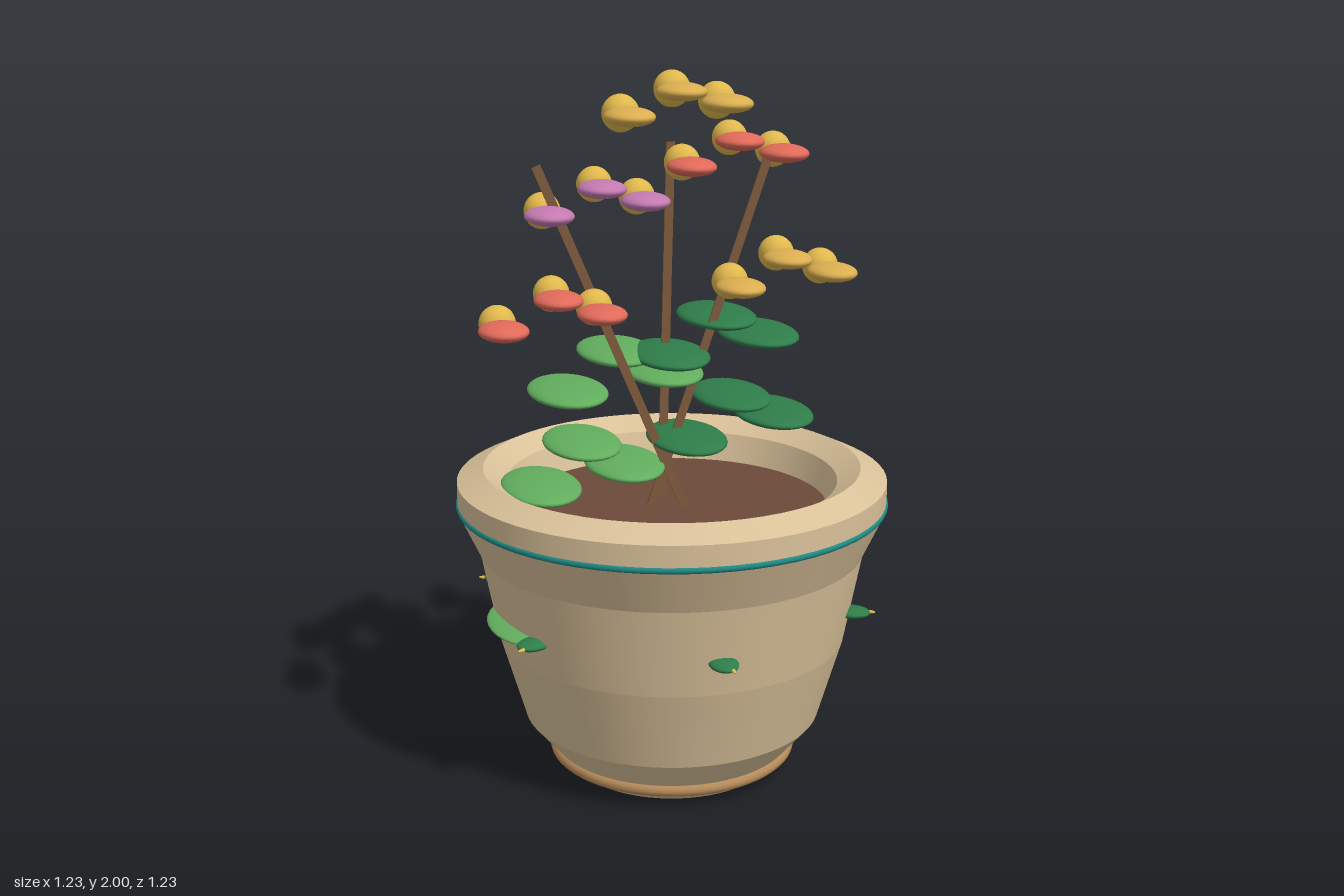
import * as THREE from 'three';
import { mergeGeometries } from 'three/addons/utils/BufferGeometryUtils.js';

const mat = (color, side = THREE.FrontSide) => new THREE.MeshStandardMaterial({ color, side });
const CLAY = mat(0xd9c199, THREE.DoubleSide);
const FOOT = mat(0xb58a5a);
const TEAL = mat(0x1f8a85);
const SOIL = mat(0x6b4a3a);
const STEM = mat(0x7d5a3c);
const DARK = mat(0x2f7d4a);
const LIGHT = mat(0x62ae5e);
const YELLOW = mat(0xe0b84c);
const PETAL = { yellow: mat(0xdbae50), red: mat(0xe06a5a), purple: mat(0xc47ab0) };

// Lathe with a sharp edge at every profile point, smooth around
function bandedLathe(profile) {
  const bands = [];
  for (let i = 0; i < profile.length - 1; i++) {
    const pair = [profile[i], profile[i + 1]].map(([r, y]) => new THREE.Vector2(r, y));
    bands.push(new THREE.LatheGeometry(pair, 64));
  }
  return mergeGeometries(bands);
}

const ball = new THREE.SphereGeometry(1, 28, 18);

export function createModel() {
  const model = new THREE.Group();

  function add(name, geometry, material, parent = model) {
    const mesh = new THREE.Mesh(geometry, material);
    mesh.name = name;
    parent.add(mesh);
    return mesh;
  }
  function ellipsoid(name, material, pos, size, parent = model) {
    const mesh = add(name, ball, material, parent);
    mesh.position.set(...pos);
    mesh.scale.set(...size);
    return mesh;
  }

  // Pot: recessed base, flared body, bevelled rim, inner wall
  add('pot', bandedLathe([
    [0, 0.07], [0.25, 0.07], [0.28, 0], [0.3, 0], [0.34, 0.04], [0.35, 0.065],
    [0.43, 0.16], [0.5, 0.4], [0.55, 0.66], [0.61, 0.79], [0.61, 0.865],
    [0.535, 0.9], [0.47, 0.86], [0.44, 0.77],
  ]), CLAY);

  // Ring round the foot
  const foot = add('footRing', new THREE.TorusGeometry(0.342, 0.018, 12, 64), FOOT);
  foot.rotation.x = Math.PI / 2;
  foot.position.y = 0.048;

  // Coloured band under the rim
  const band = add('rimBand', new THREE.TorusGeometry(0.605, 0.01, 10, 64), TEAL);
  band.rotation.x = Math.PI / 2;
  band.position.y = 0.797;

  const soil = add('soil', new THREE.CylinderGeometry(0.445, 0.43, 0.03, 64), SOIL);
  soil.position.y = 0.765;

  // Six small leaves set round the pot wall
  for (let i = 0; i < 6; i++) {
    const sprig = new THREE.Group();
    sprig.name = 'potLeaf';
    sprig.rotation.y = i * Math.PI / 3;
    model.add(sprig);
    ellipsoid('leafBlade', DARK, [0, 0.5, 0.525], [0.04, 0.015, 0.055], sprig);
    ellipsoid('leafTip', YELLOW, [0.012, 0.5, 0.575], [0.006, 0.005, 0.018], sprig);
  }
  ellipsoid('sideLeaf', LIGHT, [-0.455, 0.5, 0.1], [0.1, 0.016, 0.175]);

  // Flat straight stems: foot x, tip x, tip y, z
  const stems = [[0.03, -0.385, 1.76, 0.05], [-0.012, 0.015, 1.8, -0.07], [-0.06, 0.275, 1.75, -0.01]];
  for (const [x0, x1, top, z] of stems) {
    const dx = x1 - x0, dy = top - 0.77;
    const stem = add('stem', new THREE.BoxGeometry(0.025, Math.hypot(dx, dy), 0.005), STEM);
    stem.position.set((x0 + x1) / 2, (top + 0.77) / 2, z);
    stem.rotation.z = -Math.atan2(dx, dy);
  }

  // Broad flat leaves
  const leaves = [
    [DARK, 0.17, 1.29, -0.14], [DARK, 0.27, 1.25, -0.06], [DARK, 0.0, 1.21, -0.03],
    [DARK, 0.21, 1.055, -0.12], [DARK, 0.315, 1.015, -0.05], [DARK, 0.04, 0.975, 0.01],
    [LIGHT, -0.13, 1.205, -0.13], [LIGHT, -0.02, 1.165, -0.03], [LIGHT, -0.295, 1.125, -0.02],
    [LIGHT, -0.24, 0.95, -0.1], [LIGHT, -0.14, 0.91, 0], [LIGHT, -0.385, 0.87, 0.03],
  ];
  for (const [material, x, y, z] of leaves) {
    ellipsoid('leaf', material, [x, y, z], [0.11, 0.025, 0.18]);
  }

  // Five clusters of three flowers, each a round centre with one flat petal
  const clusters = [
    ['yellow', 0, 1.95, 0], ['red', 0.208, 1.797, -0.15], ['purple', -0.185, 1.68, -0.145],
    ['yellow', 0.31, 1.485, -0.025], ['red', -0.335, 1.402, -0.025],
  ];
  const offsets = [[0, 0, 0], [0.1, -0.025, 0.088], [-0.17, -0.05, 0.115]];
  for (const [color, x, y, z] of clusters) {
    for (const [dx, dy, dz] of offsets) {
      const flower = new THREE.Group();
      flower.name = 'flower';
      flower.position.set(x + dx, y + dy, z + dz);
      model.add(flower);
      ellipsoid('flowerCentre', YELLOW, [0, 0, 0], [0.05, 0.05, 0.05], flower);
      ellipsoid('petal', PETAL[color], [0, 0, 0.1], [0.067, 0.025, 0.085], flower);
    }
  }
  return model;
}
